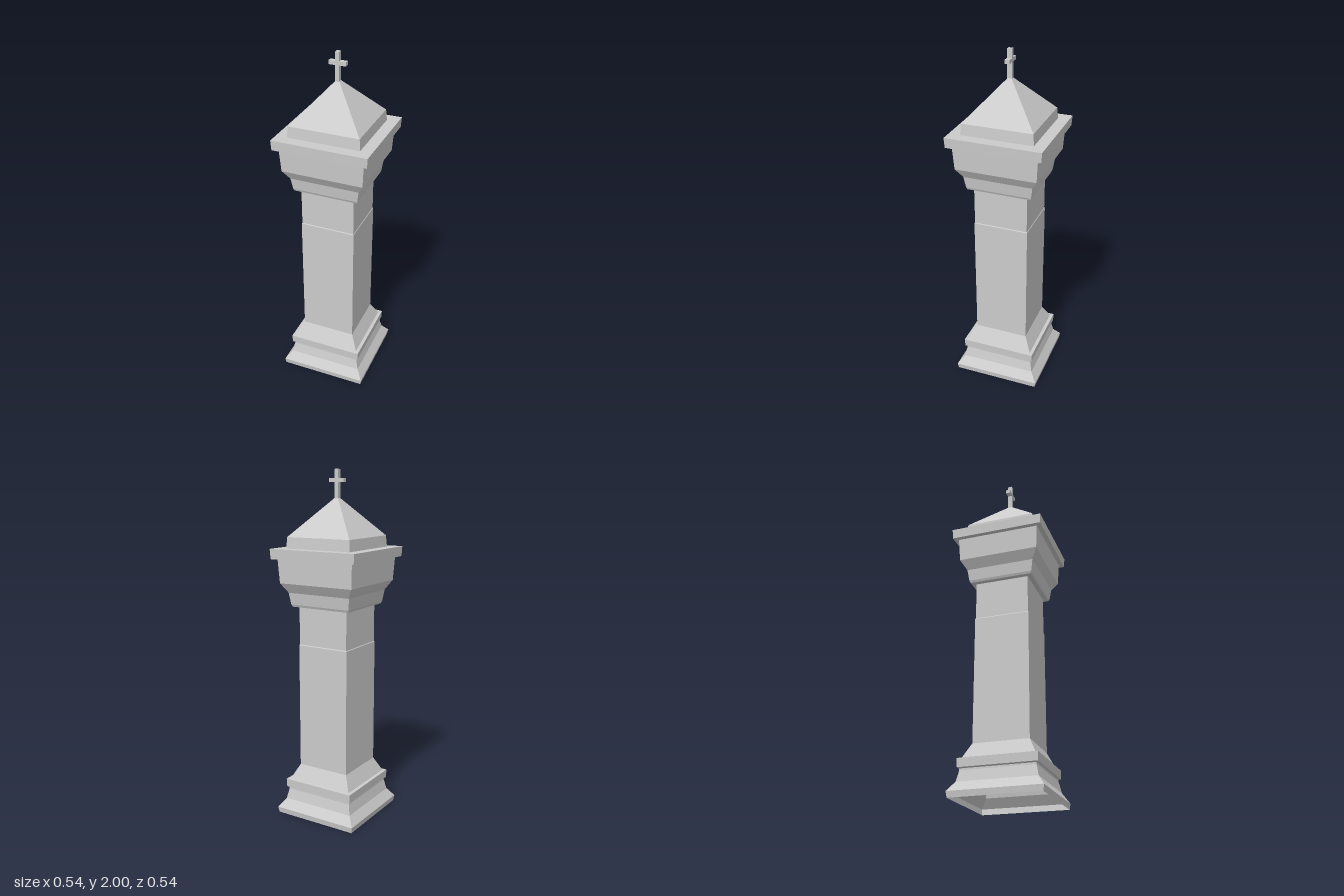
import * as THREE from 'three';

const material = new THREE.MeshStandardMaterial({
  color: 0xcccccc, flatShading: true, side: THREE.DoubleSide,
});

// Square shell swept from [half width, height] pairs, bottom to top
function squareShell(name, profile) {
  const points = profile.map(([half, y]) => new THREE.Vector2(half * Math.SQRT2, y));
  const mesh = new THREE.Mesh(new THREE.LatheGeometry(points, 4, Math.PI / 4), material);
  mesh.name = name;
  return mesh;
}

function box(name, w, h, d, x, y) {
  const mesh = new THREE.Mesh(new THREE.BoxGeometry(w, h, d), material);
  mesh.position.set(x, y, 0);
  mesh.name = name;
  return mesh;
}

export function createModel() {
  const group = new THREE.Group();
  group.name = 'pillar';

  // Moulded foot, open underneath
  group.add(squareShell('base', [
    [0.252, 0], [0.257, 0.033], [0.22, 0.085], [0.207, 0.145],
    [0.207, 0.155], [0.217, 0.16], [0.219, 0.208], [0.2, 0.21], [0.158, 0.295],
  ]));

  // Shaft with a very slight step in its upper part
  group.add(squareShell('shaft', [
    [0.158, 0.295], [0.158, 1.02], [0.155, 1.025], [0.155, 1.245],
  ]));

  // Flared capital
  group.add(squareShell('capital', [
    [0.155, 1.245], [0.182, 1.245], [0.188, 1.258], [0.198, 1.325],
    [0.232, 1.38], [0.24, 1.515],
  ]));

  // Overhanging slab
  group.add(squareShell('slab', [
    [0.24, 1.515], [0.267, 1.515], [0.27, 1.572], [0.205, 1.572],
  ]));

  // Pyramid roof on a low plinth
  group.add(squareShell('roof', [
    [0.205, 1.572], [0.2, 1.635], [0.01, 1.845], [0, 1.845],
  ]));

  // Cross finial
  const cross = new THREE.Group();
  cross.name = 'cross';
  cross.add(box('crossPost', 0.022, 0.16, 0.026, 0, 1.92));
  for (const side of [-1, 1]) {
    cross.add(box(side > 0 ? 'leftArm' : 'rightArm', 0.037, 0.022, 0.026, side * 0.0295, 1.94));
  }
  group.add(cross);
  return group;
}
